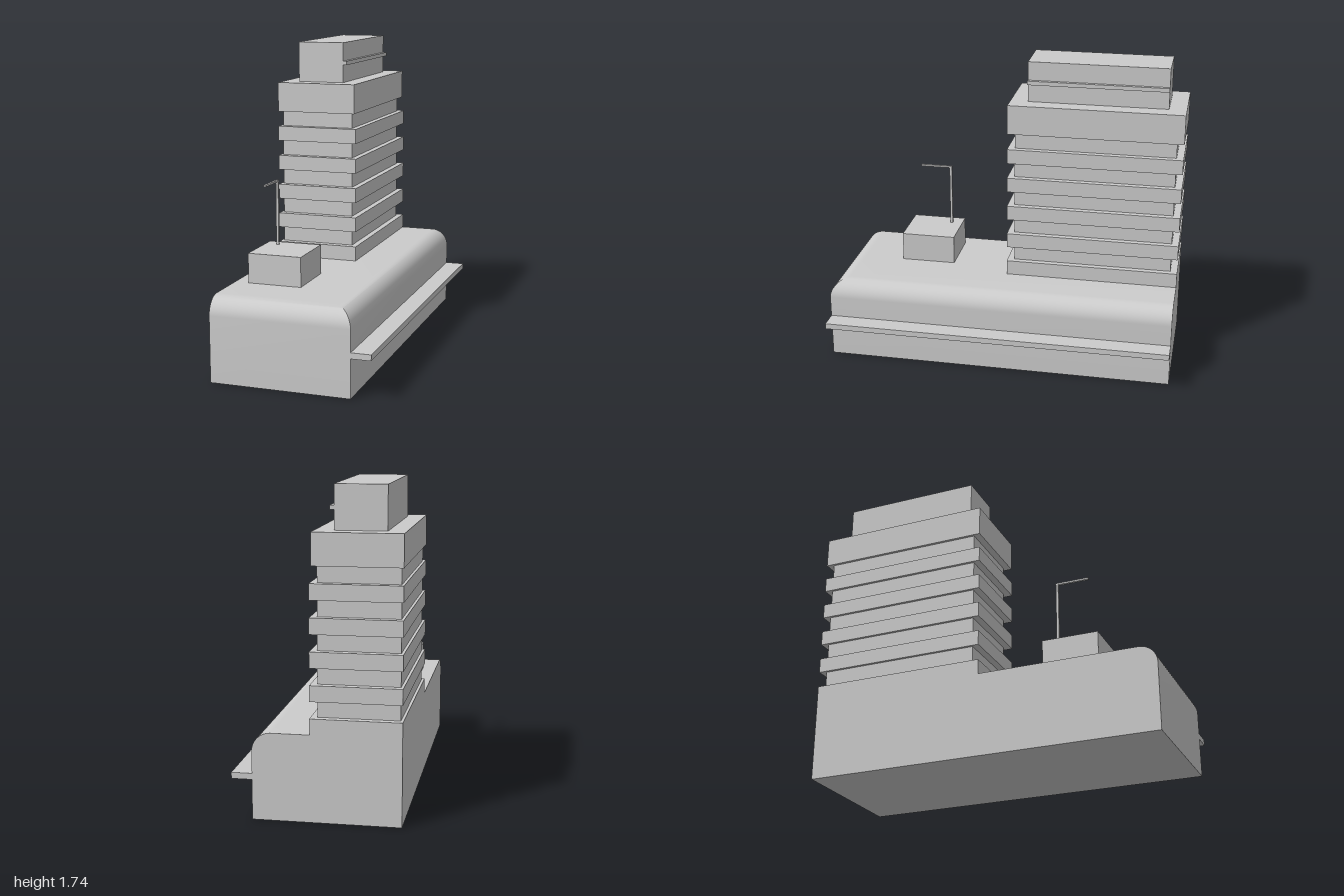
import * as THREE from 'three';
import { toCreasedNormals } from 'three/addons/utils/BufferGeometryUtils.js';

const material = new THREE.MeshStandardMaterial({ color: 0xcccccc });

// Podium: stacked rectangles drawn in on the front and +x sides to round the top edges
function podiumGeometry(x0, x1, z0, z1, height, radius) {
  const steps = 12;
  const levels = [[0, 0]]; // [y, inset]
  for (let i = 0; i <= steps; i++) {
    const a = (i / steps) * Math.PI / 2;
    levels.push([height - radius + radius * Math.sin(a), radius * (1 - Math.cos(a))]);
  }
  const positions = [];
  const index = [];
  for (const [y, d] of levels) {
    positions.push(x0, y, z0, x0, y, z1 - d, x1 - d, y, z1 - d, x1 - d, y, z0);
  }
  for (let i = 0; i < levels.length - 1; i++) {
    for (let k = 0; k < 4; k++) {
      const a = i * 4 + k;
      const b = i * 4 + (k + 1) % 4;
      index.push(a, b, b + 4, a, b + 4, a + 4);
    }
  }
  const t = (levels.length - 1) * 4;
  index.push(t, t + 1, t + 2, t, t + 2, t + 3); // roof
  index.push(0, 2, 1, 0, 3, 2); // underside
  const geometry = new THREE.BufferGeometry();
  geometry.setAttribute('position', new THREE.Float32BufferAttribute(positions, 3));
  geometry.setIndex(index);
  return toCreasedNormals(geometry, Math.PI / 6);
}

export function createModel() {
  const group = new THREE.Group();

  function add(name, geometry) {
    const mesh = new THREE.Mesh(geometry, material);
    mesh.name = name;
    group.add(mesh);
    return mesh;
  }

  // Box given by its limits along each axis
  function block(name, x0, x1, y0, y1, z0, z1) {
    const mesh = add(name, new THREE.BoxGeometry(x1 - x0, y1 - y0, z1 - z0));
    mesh.position.set((x0 + x1) / 2, (y0 + y1) / 2, (z0 + z1) / 2);
  }

  // Podium and street canopy
  add('podium', podiumGeometry(-0.45, 0.335, -1, 1, 0.468, 0.1));
  block('canopy', 0.335, 0.445, 0.215, 0.248, -1, 1);

  // Tower core with projecting floor bands
  block('towerCore', -0.435, -0.005, 0.468, 1.337, -0.96, -0.04);
  for (let i = 0; i < 5; i++) {
    const y = 0.468 + i * 0.174;
    block('floorBand' + (i + 1), -0.45, 0.03, y, y + 0.085, -1, 0);
  }
  block('topFloor', -0.45, 0.018, 1.337, 1.507, -1, 0);

  // Rooftop plant room and its side ledge
  block('plantRoom', -0.355, -0.082, 1.507, 1.74, -0.9, -0.1);
  block('plantRoomLedge', -0.082, -0.06, 1.61, 1.633, -0.9, -0.1);

  // Podium roof hut with mast and arm
  block('roofHut', -0.37, -0.063, 0.468, 0.635, 0.343, 0.66);
  block('mast', -0.302, -0.288, 0.635, 1.005, 0.402, 0.416);
  block('mastArm', -0.302, -0.288, 0.995, 1.005, 0.416, 0.592);

  return group;
}
